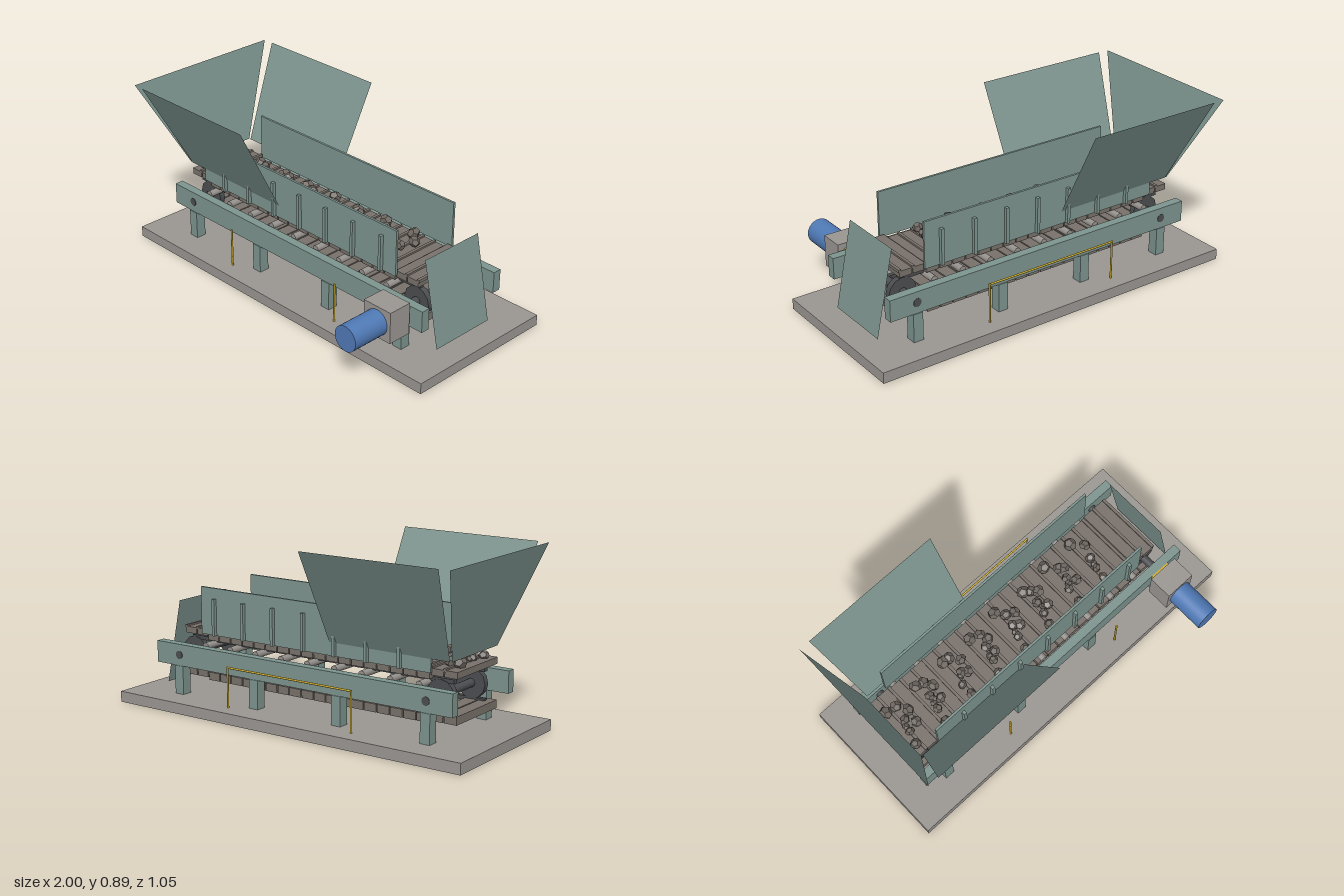
import * as THREE from 'three';

export function createModel() {
  const root = new THREE.Group();
  root.name = 'apronFeeder';
  // everything is symmetric about the conveyor centre line
  const body = new THREE.Group();
  body.name = 'conveyor';
  body.position.z = -0.0875;
  root.add(body);

  const mat = (name, color, side = THREE.FrontSide) => {
    const m = new THREE.MeshStandardMaterial({ color, side });
    m.name = name;
    return m;
  };
  const green = mat('greenPaint', 0x7d948e, THREE.DoubleSide);
  const concrete = mat('concreteGrey', 0x9a9692);
  const panGrey = mat('panGrey', 0x79716b);
  const lumpGrey = mat('oreGrey', 0x6e6761);
  const steel = mat('darkSteel', 0x4b4d50);
  const rollerGrey = mat('rollerGrey', 0x96928e);
  const yellow = mat('safetyYellow', 0xcfae2e);
  const blue = mat('motorBlue', 0x4f79b5);

  const add = (name, geo, m, x, y, z) => {
    const mesh = new THREE.Mesh(geo, m);
    mesh.name = name;
    mesh.position.set(x, y, z);
    body.add(mesh);
    return mesh;
  };
  // box from its lower and upper limits
  const box = (name, m, x0, x1, y0, y1, z0, z1) =>
    add(name, new THREE.BoxGeometry(x1 - x0, y1 - y0, z1 - z0), m, (x0 + x1) / 2, (y0 + y1) / 2, (z0 + z1) / 2);
  // cylinder lying along z
  const rod = (name, m, r, x, y, z0, z1, seg = 24) => {
    const geo = new THREE.CylinderGeometry(r, r, z1 - z0, seg).rotateX(Math.PI / 2);
    return add(name, geo, m, x, y, (z0 + z1) / 2);
  };
  // flat four-cornered sheet
  const sheet = (name, corners) => {
    const geo = new THREE.BufferGeometry();
    geo.setAttribute('position', new THREE.Float32BufferAttribute(corners.flat(), 3));
    geo.setIndex([0, 1, 2, 0, 2, 3]);
    geo.computeVertexNormals();
    return add(name, geo, green, 0, 0, 0);
  };

  // foundation slab
  box('foundation', concrete, -1, 1, 0, 0.055, -0.41, 0.41);

  // frame, skirts and hopper sides, mirrored front and back
  for (const s of [-1, 1]) {
    const zc = s * 0.248;
    box('sideRail', green, -0.87, 0.87, 0.2, 0.31, zc - 0.023, zc + 0.023);
    for (const x of [-0.73, -0.24, 0.25, 0.725])
      box('frameLeg', green, x - 0.026, x + 0.026, 0.055, 0.2, zc - 0.027, zc + 0.027);

    box('skirtPlate', green, -0.71, 0.635, 0.365, 0.603, s * 0.194 - 0.006, s * 0.194 + 0.006);
    for (let i = -3; i <= 3; i++)
      box('skirtRib', green, i * 0.182 - 0.008, i * 0.182 + 0.008, 0.365, 0.55, s * 0.209 - 0.009, s * 0.209 + 0.009);

    sheet('hopperSide', [
      [-0.81, 0.43, s * 0.2], [-0.15, 0.43, s * 0.2],
      [-0.15, 0.893, s * 0.4375], [-0.89, 0.893, s * 0.4375],
    ]);

    // chain strands and sprockets
    for (const y of [0.326, 0.176])
      box('chain', steel, -0.8, 0.74, y - 0.01, y + 0.01, s * 0.135 - 0.012, s * 0.135 + 0.012);
    for (const x of [-0.73, 0.725])
      rod('sprocket', steel, 0.075, x, 0.255, s * 0.135 - 0.015, s * 0.135 + 0.015, 12);

    // emergency stop posts
    for (const x of [-0.365, 0.365])
      add('stopPost', new THREE.CylinderGeometry(0.005, 0.005, 0.205, 10), yellow, x, 0.1575, s * 0.3265);
  }
  const cord = add('pullCord', new THREE.CylinderGeometry(0.005, 0.005, 0.735, 10), yellow, 0, 0.255, -0.3265);
  cord.rotation.z = Math.PI / 2;

  // hopper end wall and discharge plate
  sheet('hopperEnd', [
    [-0.82, 0.43, 0.2], [-0.82, 0.43, -0.2],
    [-0.947, 0.893, -0.4375], [-0.947, 0.893, 0.4375],
  ]);
  sheet('dischargePlate', [
    [0.885, 0.075, 0.18], [0.885, 0.075, -0.18],
    [0.795, 0.51, -0.18], [0.795, 0.51, 0.18],
  ]);

  // head and tail shafts
  for (const x of [-0.73, 0.725]) rod('shaft', steel, 0.021, x, 0.255, -0.273, 0.273);

  // apron pans, upper and return strands
  const pitch = 0.0727;
  for (let i = 0; i < 22; i++) {
    const x = -0.803 + i * pitch;
    const lift = i < 2 || i > 19 ? 0.02 : 0;
    box('upperPan', panGrey, x - 0.033, x + 0.033, 0.33 + lift, 0.362 + lift, -0.178, 0.178);
    box('panLip', panGrey, x + 0.024, x + 0.039, 0.355 + lift, 0.37 + lift, -0.178, 0.178);
    box('returnPan', panGrey, x - 0.033, x + 0.033, 0.125 + lift * 0.6, 0.165 + lift * 0.6, -0.178, 0.178);
  }

  // carrying rollers
  for (let i = 0; i < 9; i++)
    rod('carryRoller', rollerGrey, 0.0175, -0.66 + i * 0.157, 0.3075, -0.2175, 0.2175, 16);

  // drive unit
  box('driveGuard', yellow, 0.665, 0.775, 0.2, 0.31, 0.271, 0.288);
  box('gearbox', concrete, 0.642, 0.807, 0.175, 0.337, 0.286, 0.412);
  rod('motor', blue, 0.065, 0.724, 0.255, 0.412, 0.6125, 32);

  // ore lumps in repeating clusters
  let seed = 7;
  const rnd = () => (seed = (seed * 16807) % 2147483647) / 2147483647;
  const lumpGeo = new THREE.DodecahedronGeometry(1);
  const cluster = [
    [0, -0.1, 0.034], [0.045, -0.075, 0.03], [0.075, -0.03, 0.031], [0.03, -0.005, 0.027],
    [0.06, 0.035, 0.028], [0.01, 0.055, 0.024], [-0.005, 0.13, 0.027], [0.02, 0.03, 0.02],
  ];
  for (let c = 0; c < 8; c++) {
    for (const [dx, dz, r] of cluster) {
      const x = -0.785 + c * 0.178 + dx + (rnd() - 0.5) * 0.02;
      if (x > 0.52) continue;
      const lump = add('oreLump', lumpGeo, lumpGrey, x, 0.372 + r * 0.8, dz + (rnd() - 0.5) * 0.03);
      lump.scale.set(r, r * 0.85, r);
      lump.rotation.set(rnd() * 3, rnd() * 3, rnd() * 3);
    }
  }
  return root;
}
